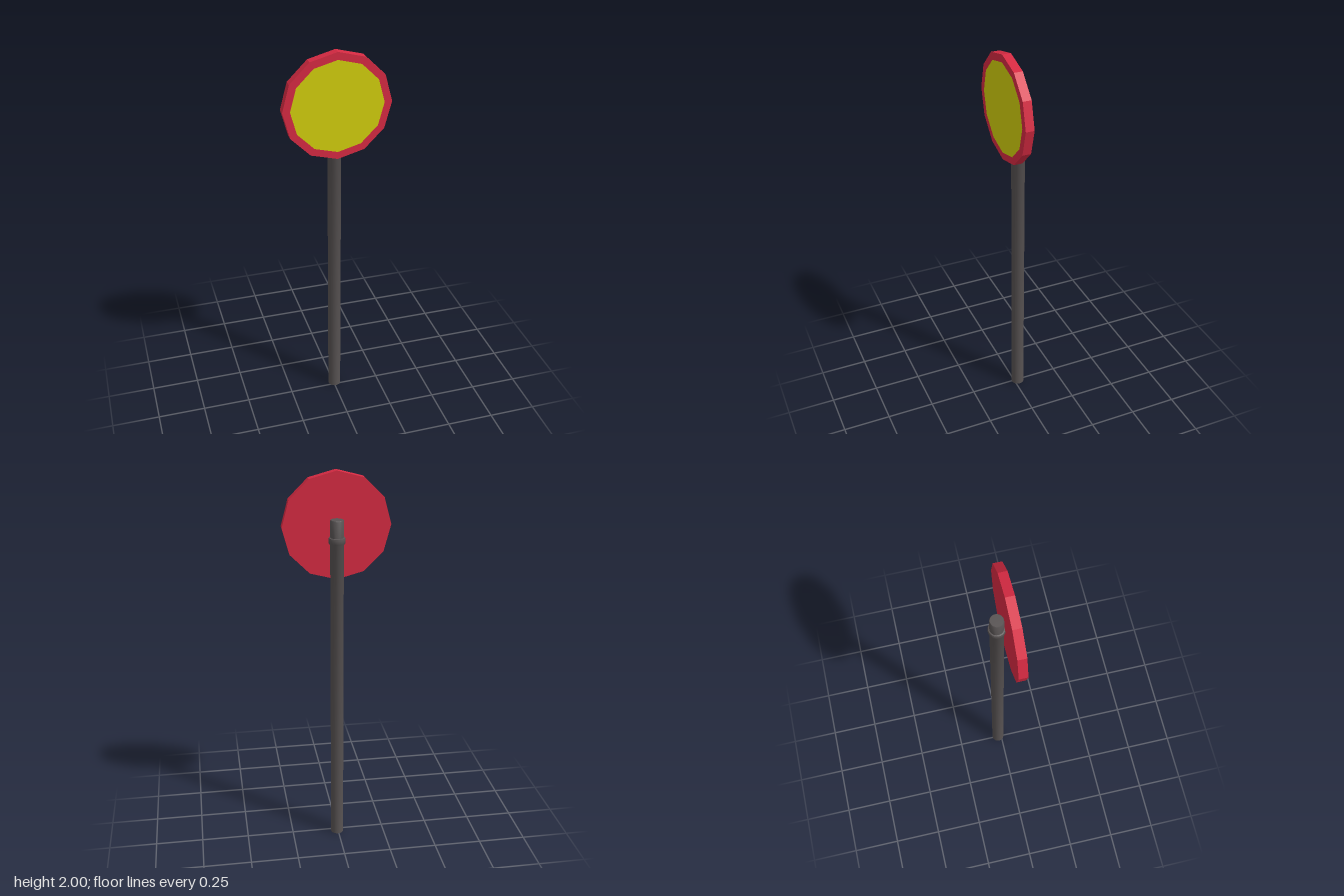
import * as THREE from 'three';
import { toCreasedNormals } from 'three/addons/utils/BufferGeometryUtils.js';

const SIDES = 12;
const SIGN_Y = 1.73;

function addPart(group, name, geometry, color, options = {}) {
  const material = new THREE.MeshStandardMaterial({ color, ...options });
  const mesh = new THREE.Mesh(geometry, material);
  mesh.name = name;
  group.add(mesh);
  return mesh;
}

export function createModel() {
  const group = new THREE.Group();
  group.name = 'roundRoadSign';

  // Twelve-sided sign plate, one corner pointing up
  const plate = new THREE.CylinderGeometry(0.272, 0.272, 0.044, SIDES);
  plate.rotateX(Math.PI / 2);
  addPart(group, 'signPlate', plate, 0xd62a42, { flatShading: true })
    .position.set(0, SIGN_Y, 0.038);

  // Yellow face inside the red border
  const face = new THREE.CircleGeometry(0.234, SIDES);
  addPart(group, 'signFace', face, 0xd2ce0c, { flatShading: true })
    .position.set(0, SIGN_Y, 0.0608);

  // Post with a collar below its slightly rounded top
  const profile = [
    [0, 0], [0.034, 0], [0.034, 1.645], [0.041, 1.655], [0.042, 1.675],
    [0.040, 1.682], [0.034, 1.684], [0.034, 1.766], [0.031, 1.771], [0, 1.772],
  ].map(([r, y]) => new THREE.Vector2(r, y));
  const post = toCreasedNormals(new THREE.LatheGeometry(profile, 20), 0.8);
  addPart(group, 'post', post, 0x585353).position.set(0.005, 0, -0.019);

  return group;
}
